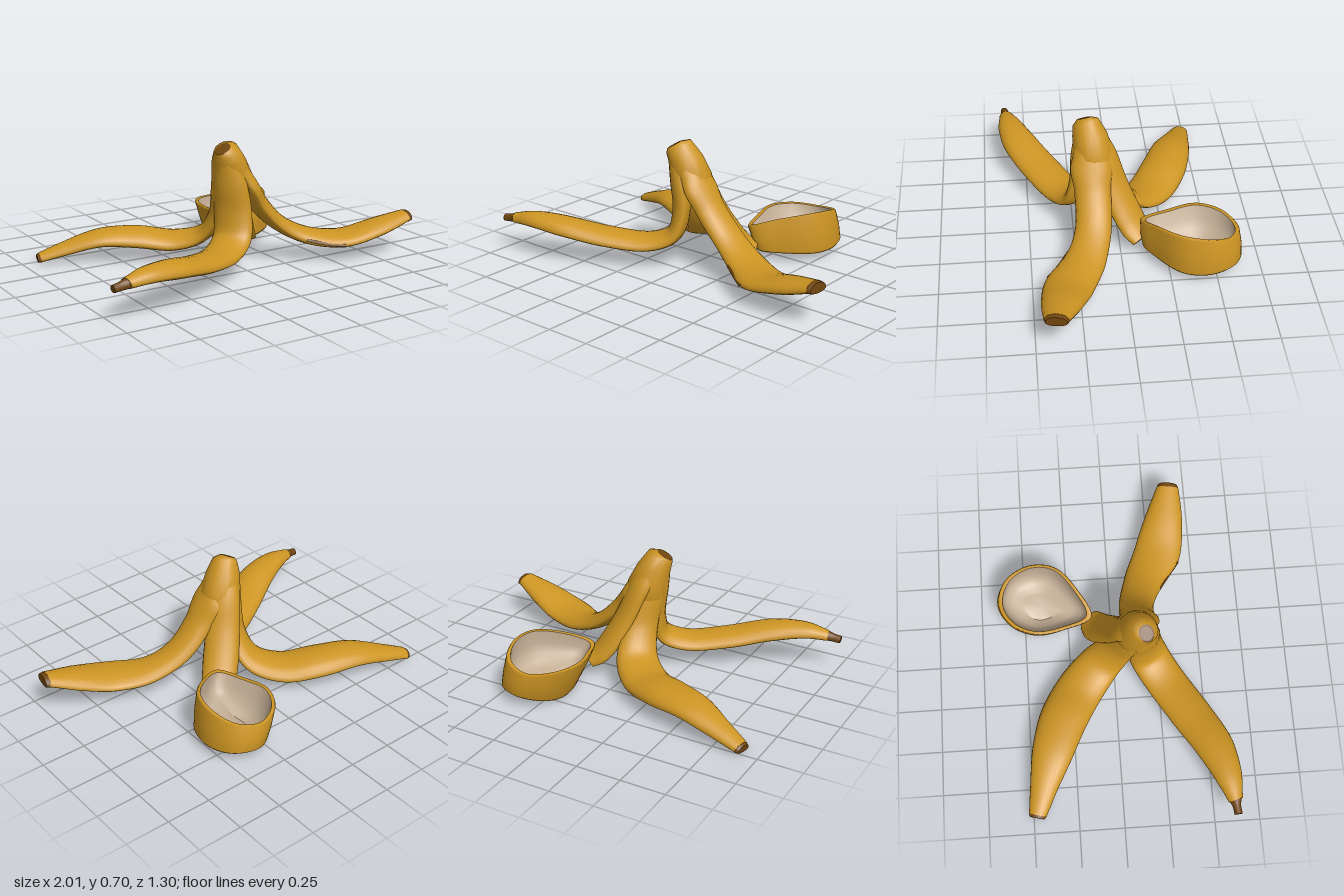
import * as THREE from 'three';

const mat = (name, color, side = THREE.FrontSide) => {
  const m = new THREE.MeshStandardMaterial({ color, side });
  m.name = name;
  return m;
};

// Skin through a list of equal rings; the ends are closed by fans on request
function loft(rings, startCap = true, endCap = true) {
  const n = rings[0].length, pos = [], idx = [];
  rings.forEach(r => r.forEach(p => pos.push(p.x, p.y, p.z)));
  for (let i = 0; i < rings.length - 1; i++) {
    for (let j = 0; j < n; j++) {
      const a = i * n + j, b = i * n + (j + 1) % n;
      idx.push(a, a + n, b, b, a + n, b + n);
    }
  }
  const cap = (ring, flip) => {
    const c = ring.reduce((s, p) => s.add(p), new THREE.Vector3()).divideScalar(n);
    const base = pos.length / 3;
    ring.forEach(p => pos.push(p.x, p.y, p.z));
    pos.push(c.x, c.y, c.z);
    for (let j = 0; j < n; j++) {
      const k = base + j, l = base + (j + 1) % n;
      flip ? idx.push(base + n, l, k) : idx.push(base + n, k, l);
    }
  };
  if (startCap) cap(rings[0], false);
  if (endCap) cap(rings[rings.length - 1], true);
  const g = new THREE.BufferGeometry();
  g.setAttribute('position', new THREE.Float32BufferAttribute(pos, 3));
  g.setIndex(idx);
  g.computeVertexNormals();
  return g;
}

// Lens-shaped strip along rows of [x, y, z, width, thickness, heading in degrees]
function strip(rows, steps) {
  const path = new THREE.CatmullRomCurve3(rows.map(r => new THREE.Vector3(r[0], r[1], r[2])));
  const sizes = new THREE.CatmullRomCurve3(rows.map(r => new THREE.Vector3(r[3], r[4], r[5] / 100)));
  const rings = [];
  for (let i = 0; i <= steps; i++) {
    const u = i / steps, p = path.getPoint(u), t = path.getTangent(u), s = sizes.getPoint(u);
    const h = THREE.MathUtils.degToRad(s.z * 100);
    const side = new THREE.Vector3(-Math.sin(h), 0, Math.cos(h));
    const up = side.clone().cross(t).normalize();
    const ring = [];
    for (let j = 0; j < 20; j++) {
      const a = j / 20 * Math.PI * 2, sn = Math.sin(a);
      const rise = sn * (sn > 0 ? 0.65 : 0.35) - 0.15;
      ring.push(p.clone().addScaledVector(side, Math.cos(a) * s.x / 2).addScaledVector(up, rise * s.y));
    }
    rings.push(ring);
  }
  return loft(rings);
}

// Horizontal-ish round section, tilted by slope along x and z
function disc(x, y, z, rx, rz, slopeX = 0, slopeZ = 0) {
  return Array.from({ length: 16 }, (_, j) => {
    const a = j / 16 * Math.PI * 2, dx = Math.cos(a) * rx, dz = Math.sin(a) * rz;
    return new THREE.Vector3(x + dx, y + dx * slopeX + dz * slopeZ, z + dz);
  });
}

export function createModel() {
  const group = new THREE.Group();
  const yellow = mat('peel yellow', 0xcd9523);
  const cream = mat('inner cream', 0xc6b097, THREE.DoubleSide);
  const brown = mat('tip brown', 0x70450f);
  const add = (name, geometry, material) => {
    const m = new THREE.Mesh(geometry, material);
    m.name = name;
    group.add(m);
  };

  // Neck where all strips meet, with its cut end
  const neckTop = disc(-0.108, 0.678, 0.17, 0.042, 0.042, 0.55, -0.2);
  add('neck', loft([
    disc(-0.025, 0.4, 0.12, 0.09, 0.09),
    disc(-0.025, 0.45, 0.12, 0.11, 0.11),
    disc(-0.025, 0.52, 0.13, 0.112, 0.11),
    disc(-0.055, 0.61, 0.145, 0.092, 0.095, 0.1, -0.1),
    disc(-0.085, 0.67, 0.165, 0.064, 0.07, 0.45, -0.3),
    neckTop], true, false), yellow);
  add('neckEnd', loft([neckTop, disc(-0.11, 0.679, 0.17, 0.034, 0.034, 0.55, -0.2)], false, true), brown);

  // Front strip with the long pointed end
  add('frontStrip', strip([
    [-0.09, 0.64, 0.18, 0.1, 0.09, 135],
    [-0.07, 0.48, 0.18, 0.19, 0.1, 140],
    [-0.055, 0.32, 0.18, 0.22, 0.1, 145],
    [-0.08, 0.19, 0.21, 0.23, 0.09, 150],
    [-0.19, 0.135, 0.28, 0.23, 0.085, 151],
    [-0.4, 0.15, 0.405, 0.23, 0.09, 151],
    [-0.62, 0.195, 0.525, 0.21, 0.095, 152],
    [-0.8, 0.21, 0.585, 0.15, 0.08, 155],
    [-0.925, 0.195, 0.607, 0.08, 0.055, 165]], 50), yellow);
  add('frontStripTip', strip([
    [-0.92, 0.195, 0.606, 0.07, 0.055, 165],
    [-0.96, 0.187, 0.61, 0.045, 0.045, 172],
    [-1, 0.182, 0.615, 0.045, 0.04, 175]], 8), brown);

  // Left strip, raised at the end
  add('leftStrip', strip([
    [-0.06, 0.645, 0.15, 0.13, 0.1, 5],
    [0.035, 0.5, 0.147, 0.2, 0.1, 5],
    [0.13, 0.35, 0.145, 0.2, 0.1, 5],
    [0.27, 0.21, 0.155, 0.2, 0.09, 12],
    [0.43, 0.13, 0.21, 0.23, 0.085, 24],
    [0.6, 0.115, 0.3, 0.27, 0.08, 24],
    [0.8, 0.16, 0.355, 0.22, 0.085, 16],
    [0.975, 0.208, 0.39, 0.13, 0.06, 8]], 45), yellow);
  add('leftStripTip', strip([
    [0.955, 0.203, 0.387, 0.132, 0.06, 8],
    [0.975, 0.206, 0.39, 0.13, 0.062, 8],
    [0.995, 0.207, 0.392, 0.115, 0.055, 8]], 6), brown);

  // Bruised line along the front edge of the left strip
  add('leftStripBruise', new THREE.TubeGeometry(new THREE.CatmullRomCurve3([
    new THREE.Vector3(0.36, 0.13, 0.292),
    new THREE.Vector3(0.45, 0.108, 0.352),
    new THREE.Vector3(0.54, 0.1, 0.417)]), 10, 0.01, 6), brown);

  // Right strip, drooping to the ground at the back
  add('rightStrip', strip([
    [-0.07, 0.6, 0.12, 0.12, 0.09, 240],
    [-0.06, 0.45, 0.07, 0.18, 0.09, 235],
    [-0.045, 0.28, 0.01, 0.2, 0.09, 230],
    [-0.08, 0.15, -0.085, 0.24, 0.09, 222],
    [-0.2, 0.1, -0.2, 0.27, 0.1, 212],
    [-0.38, 0.12, -0.305, 0.27, 0.11, 206],
    [-0.58, 0.125, -0.38, 0.23, 0.09, 202],
    [-0.77, 0.075, -0.44, 0.15, 0.07, 197],
    [-0.9, 0.035, -0.478, 0.1, 0.05, 195]], 50), yellow);
  add('rightStripTip', strip([
    [-0.893, 0.036, -0.476, 0.1, 0.05, 195],
    [-0.905, 0.032, -0.48, 0.095, 0.048, 195],
    [-0.917, 0.03, -0.483, 0.08, 0.04, 195]], 6), brown);

  // Back strip leading into the curl
  add('backStrip', strip([
    [-0.06, 0.63, 0.13, 0.12, 0.1, -45],
    [0.0, 0.5, 0.07, 0.18, 0.1, -45],
    [0.055, 0.34, 0.015, 0.19, 0.09, -45],
    [0.115, 0.2, -0.045, 0.2, 0.09, -45],
    [0.165, 0.12, -0.09, 0.19, 0.08, -45],
    [0.215, 0.08, -0.125, 0.15, 0.06, -45]], 36), yellow);

  // Curled end: a teardrop cup, rows are [x, rim height, z]
  const rim = new THREE.CatmullRomCurve3([
    [0.185, 0.2, -0.11], [0.12, 0.2, -0.26], [0.092, 0.215, -0.43], [0.16, 0.21, -0.57],
    [0.3, 0.2, -0.64], [0.44, 0.225, -0.59], [0.505, 0.265, -0.45], [0.475, 0.278, -0.3],
    [0.34, 0.25, -0.18]].map(p => new THREE.Vector3(...p)), true).getPoints(48).slice(0, 48);
  const cupRing = (depth, inset) => rim.map(p => {
    const floor = 0.003 + 0.1 * Math.max(0, p.x - 0.1) + 0.5 * (p.z + 0.4) ** 2;
    const x = p.x + depth * (0.09 - 0.12 * p.x);
    const k = 1 - inset;
    return new THREE.Vector3(0.31 + (x - 0.31) * k, p.y + (floor - p.y) * depth,
      -0.4 + (p.z - 0.012 * depth + 0.4) * k);
  });
  const lip = cupRing(0.02, 0.1);
  add('curl', loft([cupRing(1, 0.3), cupRing(1, 0.05), cupRing(0.93, 0), cupRing(0.5, -0.02),
    cupRing(0.05, 0), cupRing(0, 0.03), lip], true, false), yellow);
  add('curlLining', loft([lip, cupRing(0.35, 0.12), cupRing(0.6, 0.2), cupRing(0.75, 0.35),
    cupRing(0.82, 0.6)], false, true), cream);

  return group;
}
